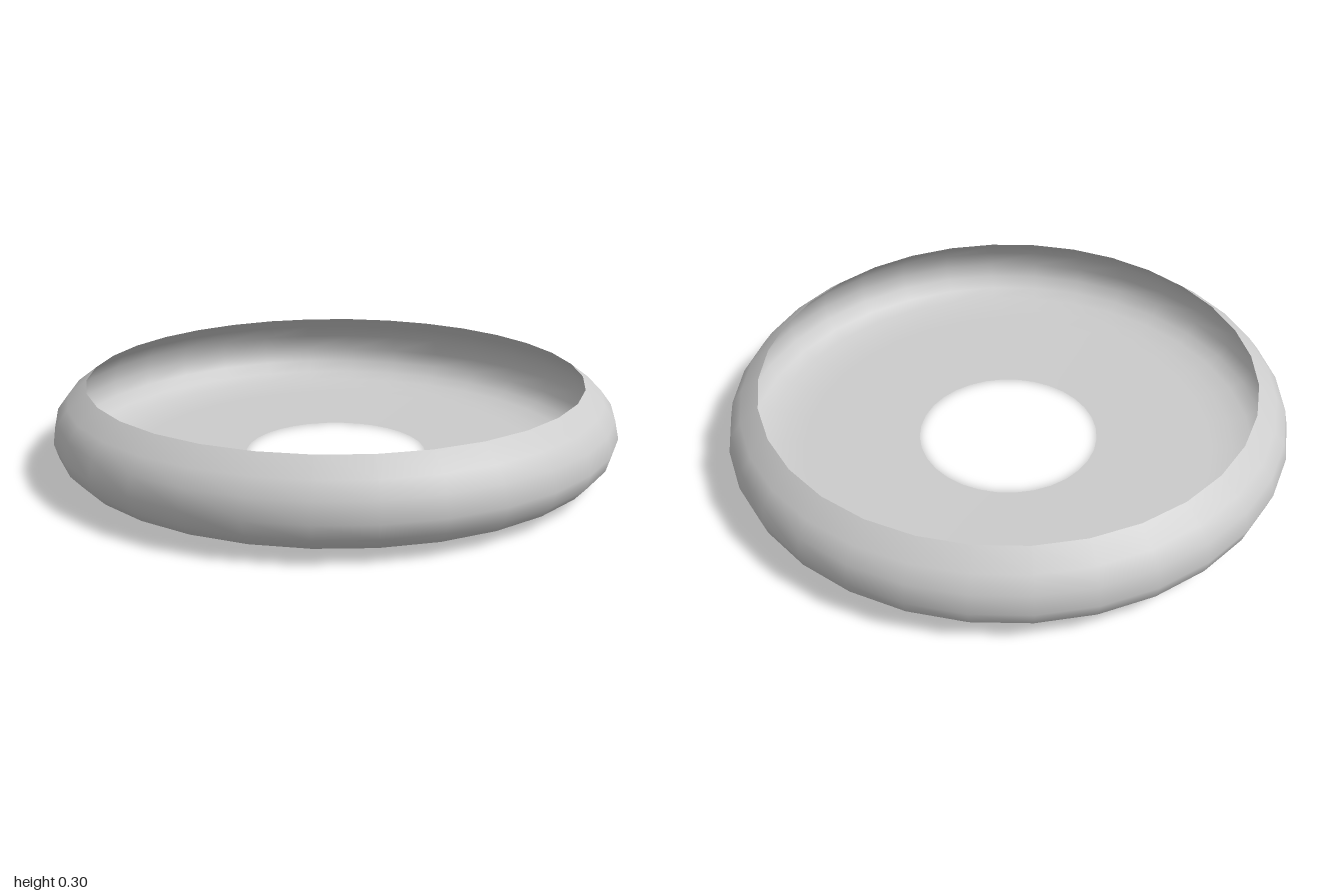
import * as THREE from 'three';

export function createModel() {
  const group = new THREE.Group();
  group.name = 'ringDish';

  // Half cross-section: hole edge, flat floor, rounded wall, inward-curling rim
  const profile = [
    [0.33, 0], [0.75, 0.002], [0.83, 0.008], [0.9, 0.02], [0.95, 0.043],
    [0.985, 0.083], [1, 0.135], [0.985, 0.2], [0.947, 0.25], [0.88, 0.3],
  ].map(([r, y]) => new THREE.Vector2(r, y));

  // Thin open shell, visible from both sides
  const material = new THREE.MeshStandardMaterial({ color: 0xcccccc, side: THREE.DoubleSide });
  const shell = new THREE.Mesh(new THREE.LatheGeometry(profile, 32), material);
  shell.name = 'dishShell';
  group.add(shell);

  return group;
}
